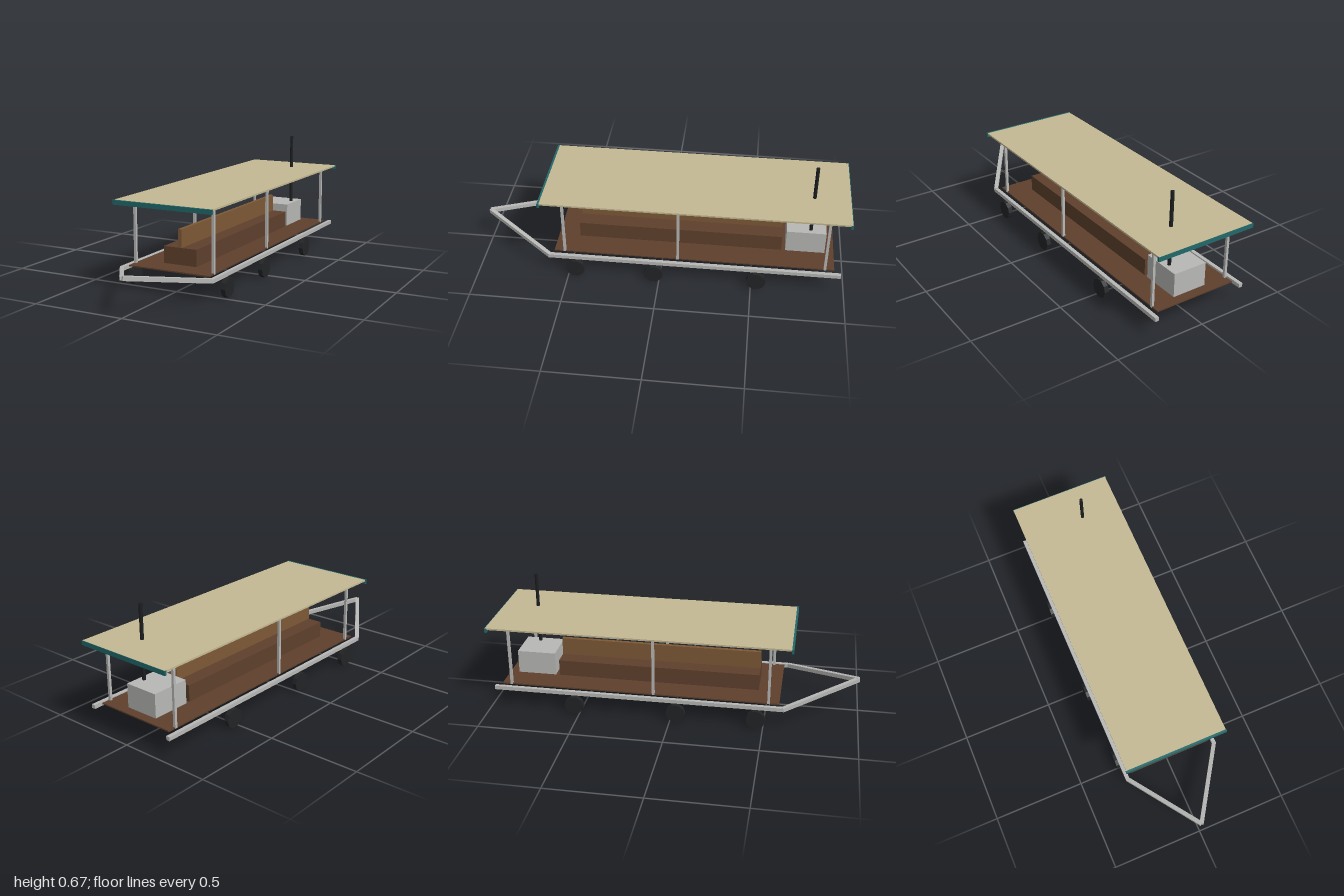
import * as THREE from 'three';

const mat = (name, color) => {
  const m = new THREE.MeshStandardMaterial({ color });
  m.name = name;
  return m;
};

export function createModel() {
  const model = new THREE.Group();
  model.name = 'openTrailerCar';

  const canvas = mat('tan roof', 0xc4b994);
  const teal = mat('teal trim', 0x22686a);
  const steel = mat('light grey metal', 0xb8b8b6);
  const darkWood = mat('dark brown wood', 0x5e402c);
  const wood = mat('brown wood', 0x7e5936);
  const black = mat('black rubber', 0x222426);
  const soot = mat('black pipe', 0x1c1e1f);

  const add = (name, geometry, material, x, y, z) => {
    const mesh = new THREE.Mesh(geometry, material);
    mesh.name = name;
    mesh.position.set(x, y, z);
    model.add(mesh);
    return mesh;
  };
  // Box given by its minimum and maximum corners
  const box = (name, material, [x0, y0, z0], [x1, y1, z1]) =>
    add(name, new THREE.BoxGeometry(x1 - x0, y1 - y0, z1 - z0), material,
      (x0 + x1) / 2, (y0 + y1) / 2, (z0 + z1) / 2);
  // Square bar between two points
  const bar = (name, a, b, w) => {
    const from = new THREE.Vector3(...a), to = new THREE.Vector3(...b);
    const mid = from.clone().add(to).multiplyScalar(0.5);
    const mesh = add(name, new THREE.BoxGeometry(w, w, from.distanceTo(to)), steel, mid.x, mid.y, mid.z);
    mesh.lookAt(to);
    return mesh;
  };

  // Floor, bench and engine housing
  box('floor', darkWood, [-0.232, 0.124, -0.94], [0.232, 0.131, 0.58]);
  box('benchSeat', darkWood, [-0.096, 0.131, -0.655], [0.096, 0.221, 0.46]);
  box('benchBackrest', wood, [-0.011, 0.221, -0.655], [0.01, 0.318, 0.46]);
  box('engineHousing', steel, [-0.096, 0.131, -0.89], [0.096, 0.261, -0.677]);

  // Exhaust pipe rising through the roof
  add('exhaustPipe', new THREE.CylinderGeometry(0.0095, 0.0095, 0.405, 8).toNonIndexed(), soot, 0.064, 0.463, -0.806);

  // Roof with trim at both ends
  box('roof', canvas, [-0.28, 0.466, -0.997], [0.28, 0.4755, 0.632]);
  box('frontTrim', teal, [-0.283, 0.451, 0.631], [0.283, 0.475, 0.643]);
  box('backTrim', teal, [-0.283, 0.451, -1], [0.283, 0.475, -0.988]);

  // Frame rails, drawbar, roof posts and wheels on both sides
  const wheel = new THREE.CylinderGeometry(0.0525, 0.0525, 0.025, 10).toNonIndexed();
  wheel.computeVertexNormals();
  wheel.rotateZ(Math.PI / 2);
  for (const s of [1, -1]) {
    const side = s > 0 ? 'left' : 'right';
    bar(side + 'Rail', [s * 0.26, 0.115, -0.975], [s * 0.26, 0.115, 0.607], 0.021);
    bar(side + 'Drawbar', [s * 0.262, 0.115, 0.6], [0, 0.191, 0.992], 0.022);
    for (const z of [0.523, -0.098, -0.89])
      box(side + 'Post', steel, [s * 0.2265 - 0.007, 0.125, z - 0.007], [s * 0.2265 + 0.007, 0.466, z + 0.007]);
    for (const z of [0.46, 0.03, -0.527])
      add(side + 'Wheel', wheel, black, s * 0.2725, 0.05, z);
  }
  return model;
}
